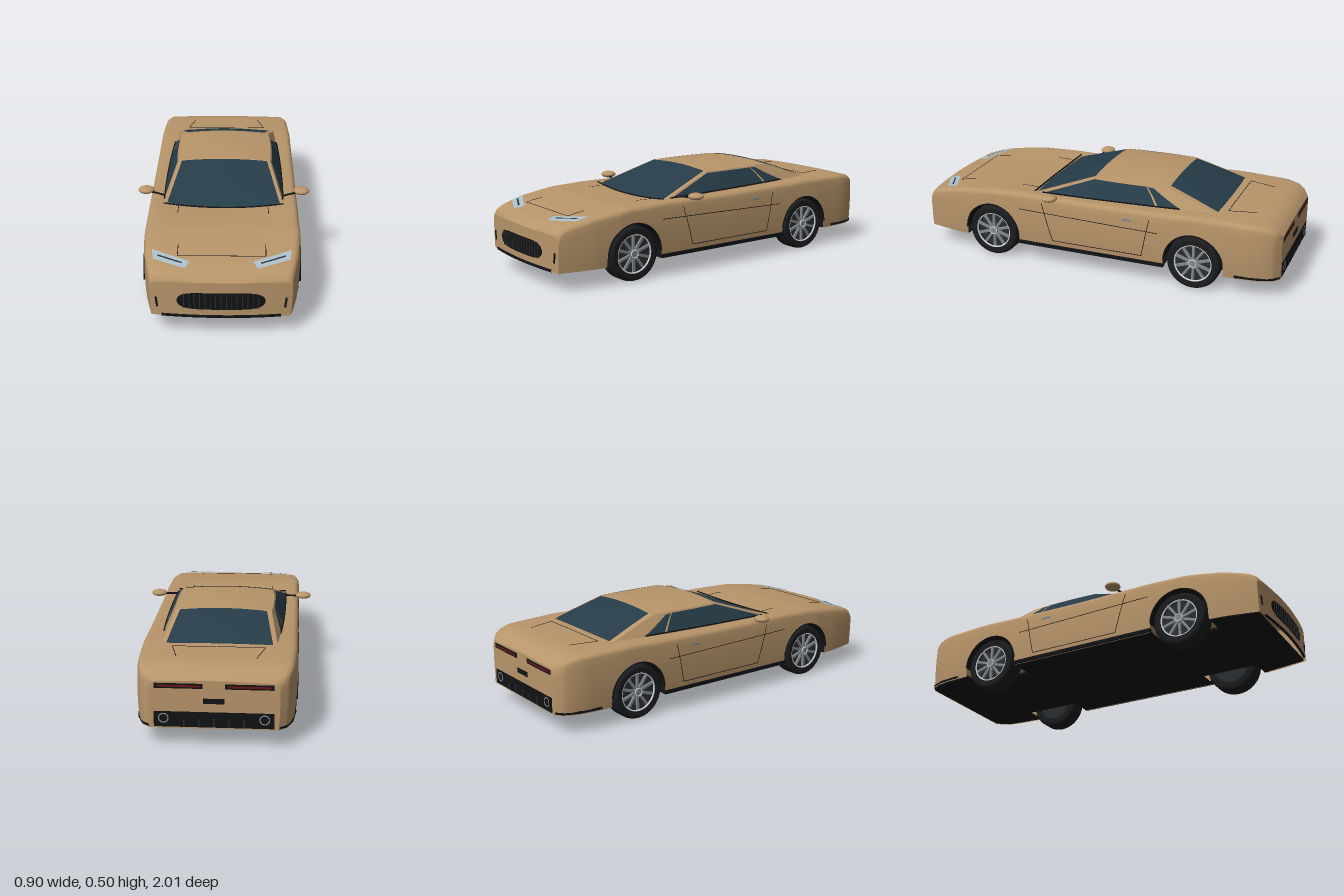
import * as THREE from 'three';
import { mergeGeometries, toCreasedNormals } from 'three/addons/utils/BufferGeometryUtils.js';

const mat = (color) => new THREE.MeshStandardMaterial({ color, side: THREE.DoubleSide });
const paint = mat(0xb8956a), glass = mat(0x263c48), black = mat(0x111214), rubber = mat(0x1b1c1e),
  metal = mat(0x83888d), bright = mat(0xd5d9dc), lamp = mat(0xa9bfca), red = mat(0x6a1518), dark = mat(0x2a2d30);
const AXLES = [0.565, -0.565], WY = 0.14, WR = 0.14, ARCH = 0.157, BOTTOM = 0.095, FRONT = 0.968, REAR = -1;
const clamp = THREE.MathUtils.clamp, lerp = THREE.MathUtils.lerp;

// piecewise linear lookup
function table(rows) {
  return (z) => {
    const i = clamp(rows.findIndex((r) => r[0] >= z), 1, rows.length - 1);
    const [a, b] = [rows[i - 1], rows[i]];
    return lerp(a[1], b[1], clamp((z - a[0]) / (b[0] - a[0]), 0, 1));
  };
}
const halfWidth = table([[-1, 0.305], [-0.97, 0.342], [-0.93, 0.362], [-0.86, 0.376], [-0.65, 0.386], [0.65, 0.386], [0.8, 0.372], [0.9, 0.352], [0.968, 0.335]]);
const deck = table([[-1, 0.325], [-0.975, 0.352], [-0.94, 0.372], [-0.88, 0.384], [-0.6, 0.391], [-0.35, 0.383], [0, 0.378],
  [0.4, 0.381], [0.6, 0.374], [0.8, 0.347], [0.93, 0.315], [0.955, 0.297], [0.968, 0.275]]);
const crown = table([[-1, 0.006], [-0.6, 0.004], [0.3, -0.024], [0.5, -0.01], [0.8, 0], [0.97, 0.004]]);
const bulge = (x, z) => 0.027 * clamp((z - 0.8) / 0.168, 0, 1) ** 2 * (1 - (x / 0.335) ** 2);
const sideX = (y, z) => halfWidth(z) * (1 - 0.018 * ((y - 0.24) / 0.14) ** 2);
const topY = (x, z) => {
  const zb = z - bulge(x, z);
  return deck(zb) + crown(zb) * (1 - (x / (halfWidth(zb) - 0.03)) ** 2);
};
const noseZ = (x) => FRONT + bulge(x, FRONT);

// surface from fn(i, j) over a grid of nu x nv cells
function grid(fn, nu, nv) {
  const pos = [], idx = [];
  for (let j = 0; j <= nv; j++) for (let i = 0; i <= nu; i++) pos.push(...fn(i, j));
  for (let j = 0; j < nv; j++) for (let i = 0; i < nu; i++) {
    const a = j * (nu + 1) + i, c = a + nu + 1;
    idx.push(a, a + 1, c, a + 1, c + 1, c);
  }
  const g = new THREE.BufferGeometry();
  g.setAttribute('position', new THREE.Float32BufferAttribute(pos, 3));
  g.setIndex(idx);
  g.computeVertexNormals();
  return g;
}

// one half cross-section of the body, bottom edge to centre line
function halfRing(z) {
  let b = BOTTOM;
  for (const a of AXLES) if (Math.abs(z - a) < ARCH + 1e-6) b = WY + Math.sqrt(Math.max(0, ARCH ** 2 - (z - a) ** 2));
  const top = deck(z), pts = [], y1 = top - 0.025, x1 = sideX(y1, z), xt = x1 - 0.03;
  for (let j = 0; j <= 8; j++) { const y = lerp(b, y1, j / 8); pts.push([sideX(y, z), y]); }
  for (let j = 1; j <= 4; j++) { const t = j * Math.PI / 8; pts.push([xt + 0.03 * Math.cos(t), y1 + 0.025 * Math.sin(t)]); }
  for (let j = 1; j <= 8; j++) { const x = xt * (1 - j / 8); pts.push([x, top + crown(z) * (1 - (x / xt) ** 2)]); }
  return pts;
}
function fullRing(z) {
  const h = halfRing(z);
  return [...h, ...h.slice(0, -1).reverse().map(([x, y]) => [-x, y])].map(([x, y]) => [x, y, z + bulge(x, z)]);
}
function bodyGeometry() {
  const zs = [-0.975, -0.955, 0.955];
  for (let i = 0; i <= 64; i++) zs.push(lerp(REAR, FRONT, i / 64));
  for (const a of AXLES) {
    for (let i = 0; i <= 20; i++) zs.push(a + ARCH * Math.cos(i * Math.PI / 20));
    zs.push(a + ARCH + 0.002, a - ARCH - 0.002);
  }
  zs.sort((a, b) => a - b);
  const rings = zs.map(fullRing);
  const cap = (ring, z, flip) => grid((i, j) => {
    const t = ring[12 + (flip ? 16 - i : i)], s = ring[j], x = s[0] * t[0] / ring[12][0];
    return [x, s[1] + (t[1] - ring[12][1]) * j / 12, z + bulge(x, z)];
  }, 16, 12);
  return toCreasedNormals(mergeGeometries([
    grid((i, j) => rings[j][i], 40, zs.length - 1),
    cap(rings[0], REAR, false), cap(rings[rings.length - 1], FRONT, true)]), 0.6);
}

// bowed four-cornered panel: returns point(u, v)
function panel(A, B, C, D, bow0, bow1, rise = 0) {
  return (u, v) => [0, 1, 2].map((k) => lerp(lerp(A[k], B[k], u), lerp(D[k], C[k], u), v)
    + 4 * u * (1 - u) * (lerp(bow0[k], bow1[k], v) + (k === 1 ? rise * 4 * v * (1 - v) : 0)));
}
// part of a panel between four uv corners, lifted by an offset
function piece(p, q = [[0, 0], [1, 0], [1, 1], [0, 1]], off = [0, 0, 0]) {
  return grid((i, j) => {
    const u = i / 12, v = j / 8;
    const [s, t] = [0, 1].map((k) => lerp(lerp(q[0][k], q[1][k], u), lerp(q[3][k], q[2][k], u), v));
    return p(s, t).map((c, k) => c + off[k]);
  }, 12, 8);
}

export function createModel() {
  const car = new THREE.Group();
  const add = (name, geo, material, x = 0, y = 0, z = 0, parent = car) => {
    const m = new THREE.Mesh(geo, material);
    m.name = name;
    m.position.set(x, y, z);
    parent.add(m);
    return m;
  };
  const box = (name, w, h, d, material, x, y, z, parent) => add(name, new THREE.BoxGeometry(w, h, d), material, x, y, z, parent);
  const line = (name, pts, r = 0.0018) => {
    const path = new THREE.CurvePath();
    const v = pts.map((p) => new THREE.Vector3(...p));
    for (let i = 1; i < v.length; i++) path.add(new THREE.LineCurve3(v[i - 1], v[i]));
    add(name, new THREE.TubeGeometry(path, (v.length - 1) * 2, r, 5), black);
  };
  const spread = (a, b, n = 8) => Array.from({ length: n + 1 }, (_, i) => a.map((c, k) => lerp(c, b[k], i / n)));
  const topLine = (name, a, b) => line(name, spread(a, b).map(([x, z]) => [x, topY(x, z), z]));
  const sideLine = (name, s, a, b) => line(name, spread(a, b).map(([z, y]) => [s * sideX(y, z), y, z]));

  add('body', bodyGeometry(), paint);

  // floor with wheel notches
  const floor = new THREE.Shape();
  const edge = [[0.96, 0.32], [0.725, 0.365], [0.725, 0.25], [0.405, 0.25], [0.405, 0.37], [-0.405, 0.37], [-0.405, 0.25],
    [-0.725, 0.25], [-0.725, 0.365], [-0.93, 0.35], [-0.995, 0.3]];
  floor.setFromPoints([...edge.map(([z, x]) => new THREE.Vector2(x, z)), ...edge.slice().reverse().map(([z, x]) => new THREE.Vector2(-x, z))]);
  add('floor', new THREE.ExtrudeGeometry(floor, { depth: 0.012, bevelEnabled: false }).rotateX(Math.PI / 2), black, 0, BOTTOM + 0.012, 0);

  // cabin shell and windows
  const wind = panel([-0.31, 0.366, 0.34], [0.31, 0.366, 0.34], [0.245, 0.478, 0.01], [-0.245, 0.478, 0.01], [0, -0.012, 0.02], [0, 0.014, 0], 0.004);
  const roof = panel([-0.245, 0.478, 0.01], [0.245, 0.478, 0.01], [0.245, 0.478, -0.38], [-0.245, 0.478, -0.38], [0, 0.014, 0], [0, 0.014, 0], 0.007);
  const back = panel([0.285, 0.385, -0.66], [-0.285, 0.385, -0.66], [-0.245, 0.478, -0.38], [0.245, 0.478, -0.38], [0, 0.005, -0.01], [0, 0.014, 0], 0.01);
  add('windshieldFrame', piece(wind), paint);
  add('roof', piece(roof), paint);
  add('rearWindowFrame', piece(back), paint);
  add('windshield', piece(wind, [[0.025, 0.03], [0.975, 0.03], [0.965, 0.97], [0.035, 0.97]], [0, 0.003, 0.003]), glass);
  add('rearWindow', piece(back, [[0.04, 0.03], [0.96, 0.03], [0.95, 0.97], [0.05, 0.97]], [0, 0.003, -0.003]), glass);
  line('cowlTrim', spread([0], [1], 12).map(([u]) => { const p = wind(u, 0.01); return [p[0], Math.max(p[1], topY(p[0], p[2])), p[2] + 0.005]; }), 0.006);

  // grille with slats, lower lip
  add('grille', grid((i, j) => {
    const u = Math.cos(Math.PI * (1 - i / 40)), x = 0.208 * u, h = 0.044 * Math.sqrt(Math.max(0, 1 - Math.abs(u) ** 6));
    return [x, 0.182 + h * (j / 2 - 1), noseZ(x) + 0.003];
  }, 40, 4), black);
  for (let i = -7; i <= 7; i++) box('grilleSlat', 0.004, 0.078, 0.004, dark, i * 0.025, 0.182, noseZ(i * 0.025) + 0.004);
  line('frontLip', spread([-0.28], [0.28], 12).map(([x]) => [x, 0.1, noseZ(x)]), 0.007);

  // rear bumper, plate and bonnet / boot seams
  box('rearDiffuser', 0.56, 0.075, 0.02, black, 0, 0.14, -0.994);
  box('plateRecess', 0.1, 0.025, 0.006, black, 0, 0.232, -1);
  for (let i = -2; i <= 2; i++) box('diffuserFin', 0.006, 0.04, 0.012, dark, i * 0.07, 0.125, -1);
  topLine('bonnetSeam', [-0.21, 0.84], [0.21, 0.84]);
  topLine('bootSeam', [-0.225, -0.7], [0.225, -0.7]);

  for (const s of [1, -1]) {
    // cabin side
    const side = panel([s * 0.31, 0.366, 0.34], [s * 0.285, 0.385, -0.66], [s * 0.245, 0.478, -0.38], [s * 0.245, 0.478, 0.01], [s * 0.012, 0, 0], [s * 0.008, 0, 0]);
    const off = [s * 0.003, 0.002, 0];
    add('cabinSide', piece(side), paint);
    add('sideWindow', piece(side, [[0.03, 0.1], [0.68, 0.06], [0.7, 0.92], [0.04, 0.92]], off), glass);
    add('quarterWindow', piece(side, [[0.695, 0.06], [0.82, 0.06], [0.78, 0.88], [0.715, 0.92]], off), glass);
    line('beltTrim', spread([0.01], [0.82], 10).map(([u]) => { const p = side(u, 0.1); return [p[0] + s * 0.004, Math.max(p[1], 0.376), p[2]]; }), 0.004);

    // headlights
    const q = [[0.15, 0.885], [0.332, 0.8], [0.325, 0.865], [0.17, 0.935]];
    const light = (name, k0, k1, lift, m) => add(name, grid((i, j) => {
      const u = lerp(k0, 1 - k0, i / 10), v = lerp(k1, 1 - k1, j / 4);
      const [x, z] = [0, 1].map((k) => lerp(lerp(q[0][k], q[1][k], u), lerp(q[3][k], q[2][k], u), v));
      return [s * x, topY(x, z) + lift, z];
    }, 10, 4), m);
    light('headlight', 0, 0, 0.005, lamp);
    light('headlightStrip', 0.15, 0.42, 0.007, dark);

    // vents, tail lamps, exhausts
    const slit = box('bumperVent', 0.01, 0.05, 0.008, black, s * 0.303, 0.167, noseZ(0.303));
    slit.rotation.z = s * -0.12;
    box('tailLampHousing', 0.225, 0.024, 0.008, black, s * 0.165, 0.305, -0.999);
    box('tailLamp', 0.2, 0.009, 0.01, red, s * 0.165, 0.305, -1);
    add('exhaust', new THREE.TorusGeometry(0.022, 0.004, 8, 24), metal, s * 0.235, 0.145, -1.002);

    // mirror and stalk
    add('mirror', new THREE.SphereGeometry(1, 24, 16).scale(0.042, 0.018, 0.04), paint, s * 0.408, 0.392, 0.21);
    line('mirrorStalk', [[s * 0.305, 0.378, 0.25], [s * 0.39, 0.386, 0.215]], 0.006);

    // sill, bumper strips, handle and seams
    box('sill', 0.02, 0.018, 0.82, black, s * 0.379, 0.106, 0);
    line('rearBumperStrip', [[s * 0.375, 0.106, -0.78], [s * 0.362, 0.106, -0.9], [s * 0.335, 0.106, -0.97], [s * 0.3, 0.106, -0.995]], 0.007);
    box('doorHandle', 0.008, 0.01, 0.05, metal, s * 0.382, 0.325, -0.21);
    sideLine('doorFrontSeam', s, [0.27, 0.345], [0.21, 0.14]);
    sideLine('doorBottomSeam', s, [0.21, 0.14], [-0.29, 0.14]);
    sideLine('doorRearSeam', s, [-0.29, 0.14], [-0.33, 0.345]);
    sideLine('characterLine', s, [0.4, 0.295], [-0.38, 0.278]);
    topLine('bonnetFrontSeam', [s * 0.21, 0.84], [s * 0.21, 0.75]);
    topLine('bonnetRearSeam', [s * 0.23, 0.45], [s * 0.23, 0.36]);
    topLine('bootSideSeam', [s * 0.225, -0.7], [s * 0.19, -0.84]);

    for (const z of AXLES) {
      // wheel-arch liner and lip
      add('archLiner', new THREE.CylinderGeometry(ARCH, ARCH, 0.13, 32, 1, true, 0, Math.PI).rotateZ(Math.PI / 2), black, s * 0.314, WY, z);
      const inner = new THREE.CircleGeometry(ARCH, 32, 0, Math.PI).rotateY(Math.PI / 2);
      add('archInnerWall', inner, black, s * 0.25, WY, z);
      add('archLip', new THREE.TorusGeometry(ARCH - 0.002, 0.005, 6, 32, Math.PI).rotateY(Math.PI / 2), black, s * 0.382, WY, z);

      // wheel: built along +x, turned outward
      const wheel = new THREE.Group();
      wheel.name = 'wheel';
      wheel.position.set(s * 0.327, WY, z);
      if (s < 0) wheel.rotation.y = Math.PI;
      car.add(wheel);
      const tyre = [[0.098, -0.052], [0.126, -0.052], [0.136, -0.046], [WR, -0.034], [WR, 0.034], [0.136, 0.046], [0.126, 0.052], [0.1, 0.05], [0.098, 0.03]];
      add('tyre', toCreasedNormals(new THREE.LatheGeometry(tyre.map((p) => new THREE.Vector2(...p)), 40).rotateZ(-Math.PI / 2), 0.6), rubber, 0, 0, 0, wheel);
      add('wheelDish', new THREE.CylinderGeometry(0.099, 0.099, 0.07, 32).rotateZ(Math.PI / 2), dark, -0.008, 0, 0, wheel);
      add('rimRing', new THREE.TorusGeometry(0.098, 0.005, 8, 40).rotateY(Math.PI / 2), bright, 0.045, 0, 0, wheel);
      add('hub', new THREE.CylinderGeometry(0.022, 0.026, 0.03, 20).rotateZ(-Math.PI / 2), metal, 0.036, 0, 0, wheel);
      add('hubRing', new THREE.TorusGeometry(0.02, 0.003, 6, 24).rotateY(Math.PI / 2), bright, 0.051, 0, 0, wheel);
      for (let i = 0; i < 10; i++) {
        const spoke = new THREE.BoxGeometry(0.012, 0.08, 0.013).translate(0, 0.058, 0).rotateX(i * Math.PI / 5);
        add('spoke', spoke, metal, 0.038, 0, 0, wheel);
      }
    }
  }
  return car;
}
